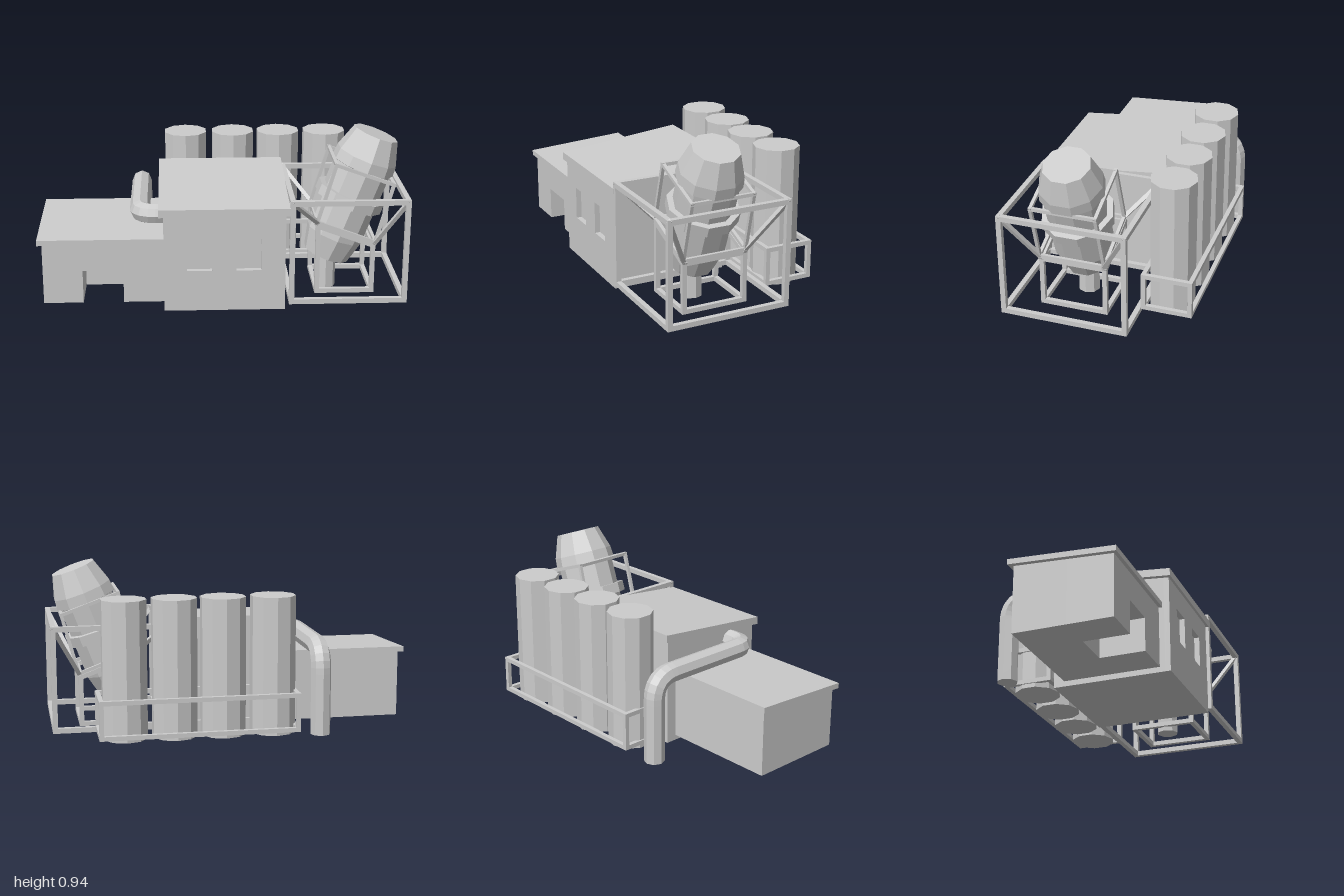
import * as THREE from 'three';

const V = (x, y, z) => new THREE.Vector3(x, y, z);
const mat = new THREE.MeshStandardMaterial({ color: 0xcccccc, flatShading: true, side: THREE.DoubleSide });

function add(parent, name, geo) {
  const mesh = new THREE.Mesh(geo, mat);
  mesh.name = name;
  parent.add(mesh);
  return mesh;
}

function group(parent, name) {
  const g = new THREE.Group();
  g.name = name;
  parent.add(g);
  return g;
}

// Box given by its two extreme corners
function boxGeo(x0, x1, y0, y1, z0, z1) {
  return new THREE.BoxGeometry(x1 - x0, y1 - y0, z1 - z0)
    .translate((x0 + x1) / 2, (y0 + y1) / 2, (z0 + z1) / 2);
}

// Raise vertices above yMin towards the back, for lean-to roofs
function slope(geo, yMin, zFront, k) {
  const p = geo.attributes.position;
  for (let i = 0; i < p.count; i++) {
    if (p.getY(i) > yMin) p.setY(i, p.getY(i) + k * (zFront - p.getZ(i)));
  }
  geo.computeVertexNormals();
  return geo;
}

// Square bar between two points
function beam(parent, name, a, b, t) {
  const m = add(parent, name, new THREE.BoxGeometry(t, a.distanceTo(b) + t, t));
  m.position.copy(a).add(b).multiplyScalar(0.5);
  m.quaternion.setFromUnitVectors(V(0, 1, 0), b.clone().sub(a).normalize());
}

// Bars round a lower ring, an upper ring and up the corners
function frame(parent, name, low, high, t) {
  const g = group(parent, name);
  for (let i = 0; i < 4; i++) {
    const j = (i + 1) % 4;
    beam(g, 'lowerRail', low[i], low[j], t);
    beam(g, 'upperRail', high[i], high[j], t);
    beam(g, 'post', low[i], high[i], t);
  }
}

// Four corners of a ring whose height may differ between its two x ends
const ring = (x0, y0, x1, y1, z0, z1) => [V(x0, y0, z0), V(x1, y1, z0), V(x1, y1, z1), V(x0, y0, z1)];

function rect(path, x0, x1, y0, y1) {
  path.moveTo(x0, y0);
  path.lineTo(x1, y0);
  path.lineTo(x1, y1);
  path.lineTo(x0, y1);
  path.closePath();
  return path;
}

const wallGeo = (shape, z0, z1) =>
  new THREE.ExtrudeGeometry(shape, { depth: z1 - z0, bevelEnabled: false }).translate(0, 0, z0);

function buildMainBuilding(root) {
  const g = group(root, 'mainBuilding');
  const k = 0.1;
  const wall = rect(new THREE.Shape(), -0.32, 0.335, 0, 0.55);
  for (const x of [-0.195, 0.07]) wall.holes.push(rect(new THREE.Path(), x, x + 0.135, 0.23, 0.41));
  add(g, 'windowWall', slope(wallGeo(wall, 0.44, 0.47), 0.5, 0.47, k));
  add(g, 'body', slope(boxGeo(-0.32, 0.335, 0, 0.55, -0.19, 0.44), 0.5, 0.47, k));
  add(g, 'roof', slope(boxGeo(-0.345, 0.36, 0.54, 0.583, -0.22, 0.485), 0, 0.485, k));
}

function buildAnnex(root) {
  const g = group(root, 'annex');
  const k = 0.06;
  // Front part with an open doorway running back into it
  const wall = new THREE.Shape([[-0.975, 0.03], [-0.76, 0.03], [-0.76, 0.215], [-0.54, 0.215],
    [-0.54, 0.03], [-0.32, 0.03], [-0.32, 0.375], [-0.975, 0.375]].map(p => new THREE.Vector2(...p)));
  add(g, 'doorWall', slope(wallGeo(wall, 0.16, 0.41), 0.3, 0.41, k));
  add(g, 'body', slope(boxGeo(-0.975, -0.32, 0.03, 0.375, -0.13, 0.16), 0.3, 0.41, k));
  add(g, 'roof', slope(boxGeo(-1, -0.315, 0.37, 0.4, -0.155, 0.43), 0, 0.43, k));
}

function buildSilos(root) {
  const g = group(root, 'silos');
  for (const x of [-0.19, 0.085, 0.35, 0.62]) {
    add(g, 'silo', new THREE.CylinderGeometry(0.125, 0.125, 0.755, 10).translate(x, 0.4075, -0.345));
  }
  frame(g, 'siloRailing', ring(-0.305, 0.065, 0.757, 0.065, -0.48, -0.225),
    ring(-0.305, 0.255, 0.757, 0.255, -0.48, -0.225), 0.024);
}

function buildPipe(root) {
  const g = group(root, 'pipe');
  const x = -0.448, y = 0.495;
  const path = new THREE.CurvePath();
  path.add(new THREE.LineCurve3(V(x, 0.015, -0.405), V(x, 0.37, -0.405)));
  path.add(new THREE.QuadraticBezierCurve3(V(x, 0.37, -0.405), V(x, y, -0.405), V(x, y, -0.28)));
  path.add(new THREE.LineCurve3(V(x, y, -0.28), V(x, y, 0.2)));
  path.add(new THREE.QuadraticBezierCurve3(V(x, y, 0.2), V(x, y, 0.285), V(-0.365, y, 0.285)));
  path.add(new THREE.LineCurve3(V(-0.365, y, 0.285), V(-0.3, y, 0.285)));
  add(g, 'duct', new THREE.TubeGeometry(path, 40, 0.056, 8));
  add(g, 'ductEnd', new THREE.CircleGeometry(0.056, 8).rotateX(Math.PI / 2).translate(x, 0.015, -0.405));
}

function buildTower(root) {
  const g = group(root, 'mixerTower');
  // Outer cage
  const cageTop = ring(0.37, 0.607, 0.985, 0.607, -0.2, 0.47);
  frame(g, 'outerCage', ring(0.37, 0.047, 0.985, 0.047, -0.2, 0.47), cageTop, 0.028);

  // Tilted cradle on its stand, hung from the cage corners
  const cradleLow = ring(0.52, 0.445, 0.84, 0.325, -0.04, 0.32);
  const cradleHigh = ring(0.615, 0.77, 0.93, 0.655, -0.03, 0.32);
  frame(g, 'cradle', cradleLow, cradleHigh, 0.018);
  frame(g, 'stand', ring(0.525, 0.04, 0.83, 0.04, -0.04, 0.31),
    ring(0.525, 0.42, 0.83, 0.305, -0.04, 0.31), 0.025);
  cageTop.forEach((p, i) => beam(g, 'brace', p, cradleLow[i], 0.022));

  // Tilted drum with a band around it
  const drum = group(g, 'drum');
  drum.position.set(0.59, 0.2, 0.145);
  drum.rotation.z = -0.358;
  const profile = [[0, 0], [0.13, 0], [0.162, 0.13], [0.162, 0.545], [0.177, 0.55],
    [0.172, 0.61], [0.127, 0.744], [0, 0.744]];
  add(drum, 'drumBody', new THREE.LatheGeometry(profile.map(p => new THREE.Vector2(...p)), 10));
  const band = [[0.15, 0.33], [0.195, 0.33], [0.195, 0.388], [0.15, 0.388]];
  add(drum, 'drumBand', new THREE.LatheGeometry(band.map(p => new THREE.Vector2(...p)), 10));

  // Outlet column beneath the drum
  add(g, 'outlet', new THREE.CylinderGeometry(0.06, 0.06, 0.245, 8).translate(0.588, 0.1275, 0.142));
}

export function createModel() {
  const root = new THREE.Group();
  root.name = 'plant';
  buildMainBuilding(root);
  buildAnnex(root);
  buildSilos(root);
  buildPipe(root);
  buildTower(root);
  return root;
}
